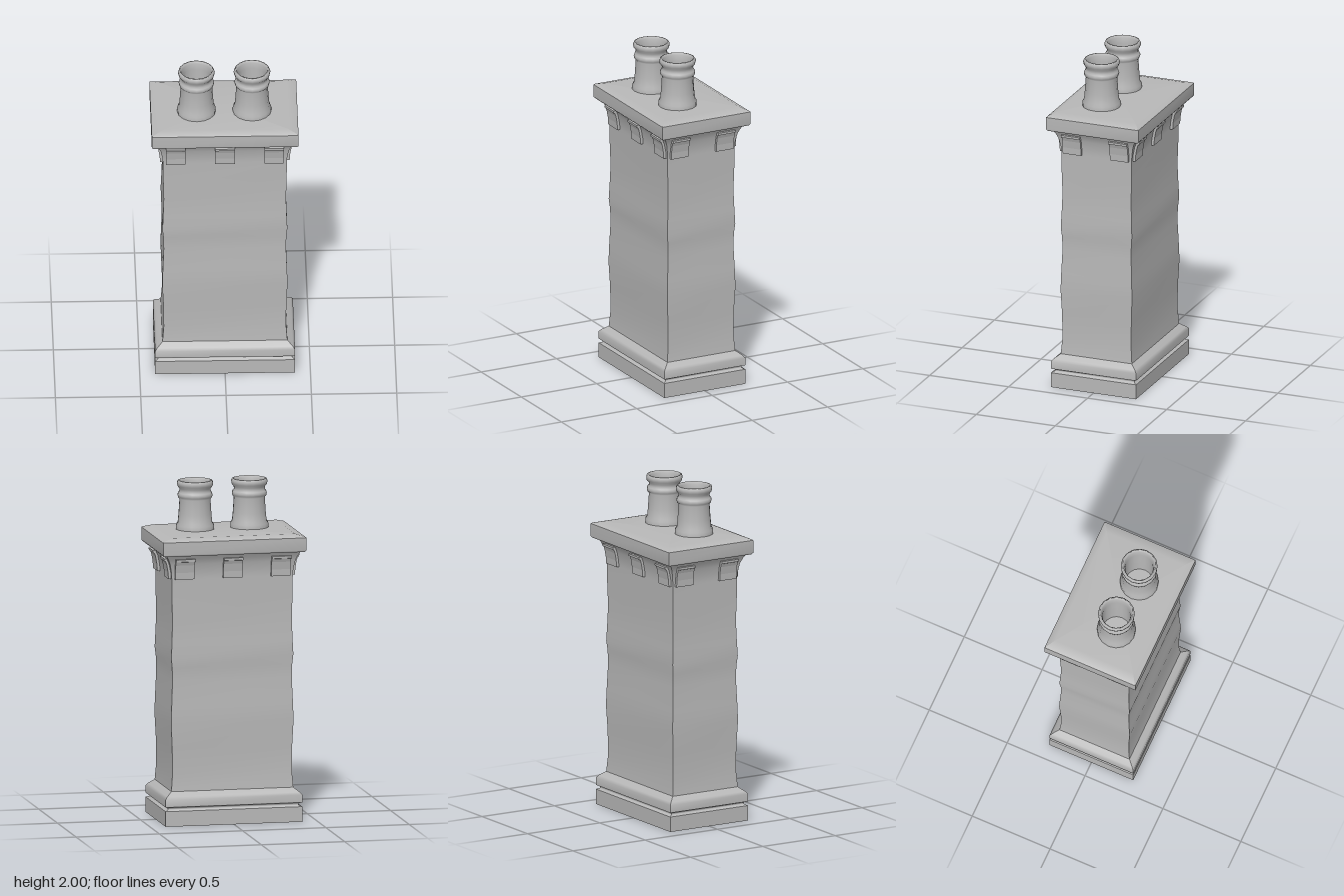
import * as THREE from 'three';

// Smooth-sided rectangular loft with sharp vertical corners; rings are [y, halfX, halfZ].
// A repeated ring makes a hard horizontal edge.
function loft(rings) {
  const corners = [[-1, 1], [1, 1], [1, -1], [-1, -1]];
  const pos = [], idx = [];
  for (let k = 0; k < 4; k++) {
    const base = pos.length / 3;
    const a = corners[k], b = corners[(k + 1) % 4];
    rings.forEach(([y, hx, hz], i) => {
      pos.push(a[0] * hx, y, a[1] * hz, b[0] * hx, y, b[1] * hz);
      if (i === 0) return;
      const p = base + (i - 1) * 2;
      idx.push(p, p + 1, p + 3, p, p + 3, p + 2);
    });
  }
  const geo = new THREE.BufferGeometry();
  geo.setAttribute('position', new THREE.Float32BufferAttribute(pos, 3));
  geo.setIndex(idx);
  geo.computeVertexNormals();
  return geo;
}

const INSET = 0.141; // the stack is this much narrower in z than in x
const ring = ([y, h]) => [y, h, h - INSET];

export function createModel() {
  const model = new THREE.Group();
  model.name = 'chimney';
  const stone = new THREE.MeshStandardMaterial({ color: 0xb8b8b8, side: THREE.DoubleSide });
  stone.name = 'grey stone';

  const add = (geo, name, parent = model) => {
    const mesh = new THREE.Mesh(geo, stone);
    mesh.name = name;
    parent.add(mesh);
    return mesh;
  };

  // Plinth with a groove, open underneath
  add(loft([
    [0, 0.41], [0.09, 0.41], [0.09, 0.41], [0.098, 0.392], [0.108, 0.392],
    [0.115, 0.41], [0.115, 0.41], [0.16, 0.41], [0.175, 0.398], [0.2, 0.366],
  ].map(ring)), 'plinth');

  // Slightly uneven shaft, flaring below the cap
  add(loft([
    [0.2, 0.366], [0.3, 0.358], [0.45, 0.36], [0.6, 0.367], [0.7, 0.364], [0.85, 0.358],
    [0.93, 0.36], [0.99, 0.366], [1.08, 0.362], [1.2, 0.358], [1.35, 0.362],
    [1.46, 0.363], [1.5, 0.366], [1.55, 0.376], [1.58, 0.388], [1.61, 0.405],
  ].map(ring)), 'shaft');

  // Cap slab with bevelled top
  add(loft([
    [1.605, 0.39, 0.25], [1.605, 0.422, 0.284], [1.605, 0.422, 0.284], [1.615, 0.43, 0.292],
    [1.69, 0.43, 0.292], [1.69, 0.43, 0.292], [1.695, 0.424, 0.286],
    [1.71, 0.37, 0.25], [1.71, 0, 0],
  ]), 'capSlab');

  // Corbel brackets under the cap: profile is (outward, y)
  const profile = new THREE.Shape([
    [-0.01, 1.46], [0.018, 1.46], [0.02, 1.5], [0.028, 1.545], [0.035, 1.565],
    [0.043, 1.568], [0.044, 1.582], [-0.01, 1.582],
  ].map(([x, y]) => new THREE.Vector2(x, y)));
  const bracketGeo = new THREE.ExtrudeGeometry(profile, { depth: 0.115, bevelEnabled: false });
  bracketGeo.translate(0, 0, -0.0575).rotateY(-Math.PI / 2);
  const sides = [
    { name: 'front', dist: 0.221, along: [-0.288, 0, 0.288] },
    { name: 'left', dist: 0.362, along: [-0.149, 0.149] },
    { name: 'back', dist: 0.221, along: [-0.288, 0, 0.288] },
    { name: 'right', dist: 0.362, along: [-0.149, 0.149] },
  ];
  sides.forEach(({ name, dist, along }, i) => {
    const row = new THREE.Group();
    row.name = name + 'Brackets';
    row.rotation.y = i * Math.PI / 2;
    for (const x of along) add(bracketGeo, 'bracket', row).position.set(x, 0, dist);
    model.add(row);
  });

  // Two hollow chimney pots, set towards the front
  const potGeo = new THREE.LatheGeometry([
    [0.113, 1.705], [0.113, 1.735], [0.103, 1.75], [0.098, 1.8], [0.092, 1.89],
    [0.102, 1.902], [0.104, 1.915], [0.1, 1.926], [0.092, 1.935], [0.093, 1.953],
    [0.105, 1.968], [0.108, 1.985], [0.102, 1.998], [0.094, 2.0],
    [0.088, 1.985], [0.082, 1.95], [0.082, 1.712],
  ].map(([r, y]) => new THREE.Vector2(r, y)), 16);
  for (const x of [-0.163, 0.163]) {
    add(potGeo, x > 0 ? 'leftPot' : 'rightPot').position.set(x, 0, 0.05);
  }

  return model;
}
